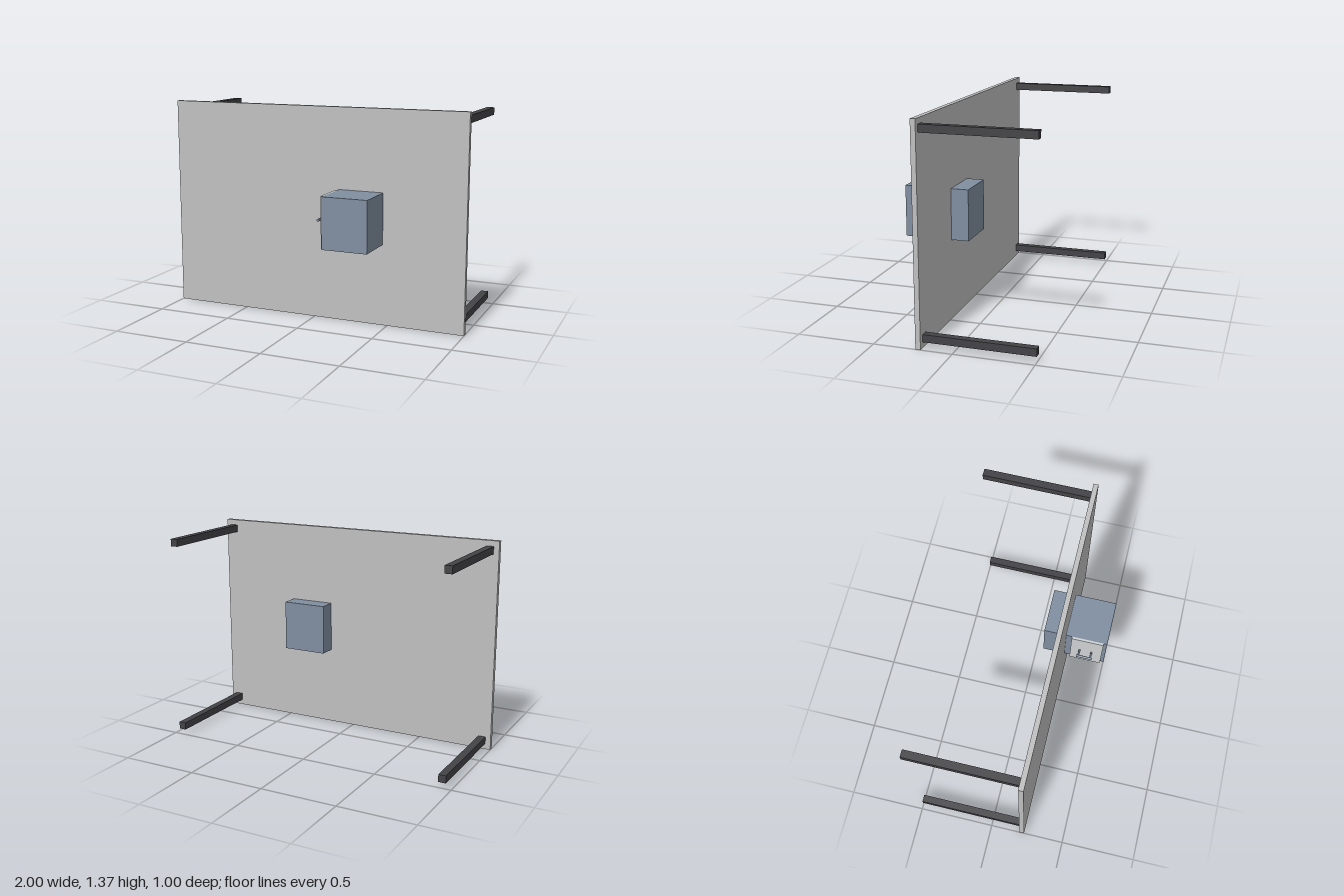
import * as THREE from 'three';

const mat = (name, color) => {
  const m = new THREE.MeshStandardMaterial({ color });
  m.name = name;
  return m;
};

export function createModel() {
  const group = new THREE.Group();
  const grey = mat('light grey', 0xc0c0c0);
  const charcoal = mat('charcoal', 0x434347);
  const blue = mat('slate blue', 0x808ea0);
  const pale = mat('pale grey', 0xcfd2d4);

  // Box given by its limits on each axis
  const box = (name, m, [x0, x1], [y0, y1], [z0, z1]) => {
    const mesh = new THREE.Mesh(new THREE.BoxGeometry(x1 - x0, y1 - y0, z1 - z0), m);
    mesh.position.set((x0 + x1) / 2, (y0 + y1) / 2, (z0 + z1) / 2);
    mesh.name = name;
    group.add(mesh);
  };
  // Round bar between two points
  const rod = (name, m, r, a, b) => {
    const from = new THREE.Vector3(...a), to = new THREE.Vector3(...b);
    const dir = to.clone().sub(from);
    const mesh = new THREE.Mesh(new THREE.CylinderGeometry(r, r, dir.length(), 16), m);
    mesh.position.copy(from).add(to).multiplyScalar(0.5);
    mesh.quaternion.setFromUnitVectors(new THREE.Vector3(0, 1, 0), dir.normalize());
    mesh.name = name;
    group.add(mesh);
  };

  // Table top standing on its edge
  box('tableTop', grey, [-1, 1], [0, 1.37], [0.198, 0.23]);

  // Four legs pointing backwards
  for (const x of [-0.941, 0.941])
    for (const y of [0.06, 1.311])
      box('leg', charcoal, [x - 0.024, x + 0.024], [y - 0.024, y + 0.024], [-0.5, 0.198]);

  // Cabinet passing through the top, with its door panel
  box('cabinet', blue, [0.17, 0.465], [0.522, 0.851], [0.085, 0.502]);
  box('door', pale, [0.155, 0.17], [0.522, 0.851], [0.27, 0.48]);

  // Pull handle
  rod('handleGrip', blue, 0.008, [0.11, 0.686, 0.318], [0.11, 0.686, 0.424]);
  for (const z of [0.331, 0.411])
    rod('handlePost', blue, 0.006, [0.11, 0.686, z], [0.157, 0.686, z]);

  return group;
}
